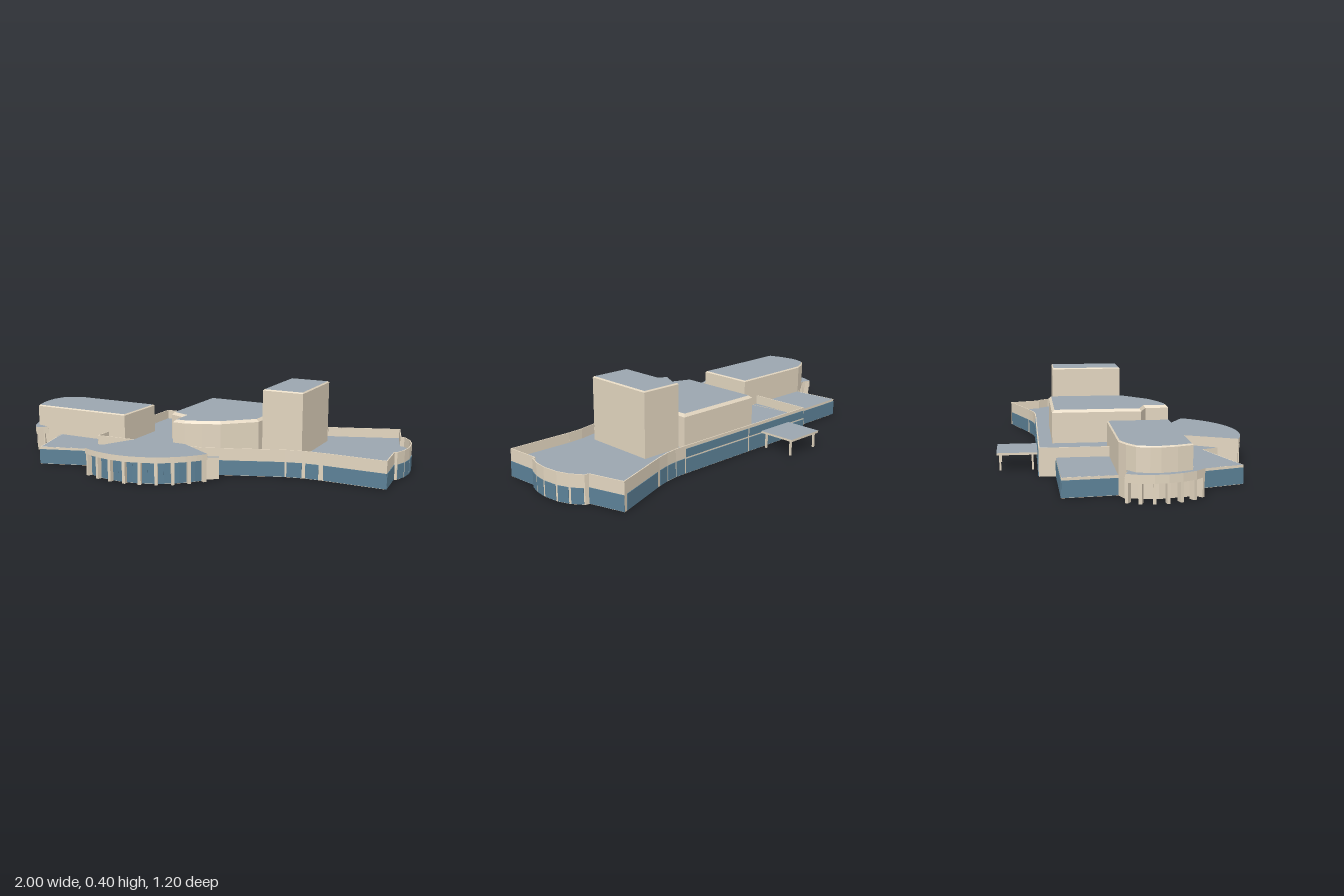
import * as THREE from 'three';

const mat = (name, color) => {
  const m = new THREE.MeshStandardMaterial({ color });
  m.name = name;
  return m;
};

export function createModel() {
  const wall = mat('sandstone', 0xe3d6c0);
  const roof = mat('slate roof', 0x9ba6af);
  const glass = mat('window glass', 0x5c8197);
  const model = new THREE.Group();
  let parent = model;

  const section = (name) => {
    parent = new THREE.Group();
    parent.name = name;
    model.add(parent);
  };
  const add = (name, geometry, material) => {
    const mesh = new THREE.Mesh(geometry, material);
    mesh.name = name;
    parent.add(mesh);
    return mesh;
  };

  // Solid with a plan outline of [x, z] points between two heights
  const slab = (name, pts, y0, y1, bevel = 0) => {
    const shape = new THREE.Shape(pts.map(([x, z]) => new THREE.Vector2(x, -z)));
    const g = new THREE.ExtrudeGeometry(shape, {
      depth: y1 - y0 - 2 * bevel, bevelEnabled: bevel > 0, bevelSegments: 1,
      bevelSize: bevel, bevelThickness: bevel, bevelOffset: -bevel,
    });
    g.rotateX(-Math.PI / 2).translate(0, y0 + bevel, 0);
    return add(name, g, [roof, wall]);
  };
  // Block whose top edge is chamfered
  const block = (name, pts, y0, y1, bevel) => {
    slab(name, pts, y0, y1 - bevel);
    slab(name + 'Cap', pts, y1 - 2 * bevel - 0.001, y1, bevel);
  };

  // Upright plate from a to b; outlines run clockwise seen from above, off > 0 is outward
  const plate = (name, a, b, y0, y1, thick, off, material) => {
    const dx = b[0] - a[0], dz = b[1] - a[1], len = Math.hypot(dx, dz);
    const m = add(name, new THREE.BoxGeometry(len, y1 - y0, thick), material);
    m.position.set((a[0] + b[0]) / 2 + (dz / len) * off, (y0 + y1) / 2, (a[1] + b[1]) / 2 - (dx / len) * off);
    m.rotation.y = Math.atan2(-dz, dx);
  };
  const walls = (name, path, y0, y1, thick = 0.005) => {
    for (let i = 0; i + 1 < path.length; i++) plate(name, path[i], path[i + 1], y0, y1, thick, -thick / 2, wall);
  };
  const lerp = (a, b, t) => [a[0] + (b[0] - a[0]) * t, a[1] + (b[1] - a[1]) * t];

  // Row of n panes with narrow mullions between them
  const glaze = (a, b, y0 = 0.002, y1 = 0.075, n = 1, gap = 0.01) => {
    const g = n > 1 ? gap / 2 / Math.hypot(b[0] - a[0], b[1] - a[1]) : 0;
    for (let i = 0; i < n; i++) {
      plate('window', lerp(a, b, i / n + g), lerp(a, b, (i + 1) / n - g), y0, y1, 0.003, 0.001, glass);
    }
  };
  const arc = (cx, cz, r, from, to, n) => Array.from({ length: n + 1 }, (_, i) => {
    const t = THREE.MathUtils.degToRad(from + ((to - from) * i) / n);
    return [cx + r * Math.cos(t), cz + r * Math.sin(t)];
  });

  // Main building: roof deck behind a parapet
  section('mainBuilding');
  const north = [[-0.485, -0.405], [0.38, -0.405], [0.44, -0.407], [0.5, -0.417], [0.565, -0.436], [0.854, -0.543]];
  const east = [[0.905, -0.375], [0.925, -0.372], [0.965, -0.32], [0.988, -0.26], [0.997, -0.18], [0.99, -0.115], [0.97, -0.055], [0.957, -0.055], [0.97, 0.118]];
  const south = [[0.65, 0.118], [0.57, 0.124], [0.48, 0.144], [0.11, 0.288], [-0.1, 0.295], [-0.485, 0.31]];
  const main = [...north, ...east, ...south];
  slab('mainRoof', main, 0.08, 0.086);
  walls('mainWall', [...main, main[0]], 0, 0.135);
  // Two tiers of glass on the long north face, one elsewhere
  glaze(north[0], north[1], 0.002, 0.072, 2);
  glaze(north[0], north[1], 0.08, 0.12, 2);
  for (let i = 1; i < 5; i++) glaze(lerp(north[i], north[i + 1], 0.06), lerp(north[i], north[i + 1], 0.94));
  glaze(north[5], east[0]);
  for (let i = 1; i < 6; i++) glaze(lerp(east[i], east[i + 1], 0.08), lerp(east[i], east[i + 1], 0.92));
  glaze(east[7], east[8]);
  glaze(east[8], lerp(east[8], south[0], 0.95));
  for (let i = 0; i < 2; i++) glaze(lerp(south[i], south[i + 1], 0.1), lerp(south[i], south[i + 1], 0.9));
  glaze(south[2], south[3]);

  // Low west wing
  section('westWing');
  const wing = [[-0.355, 0.46], [-0.385, 0.38], [-0.715, 0.49], [-0.775, 0.27], [-0.84, -0.08], [-0.86, -0.32], [-0.49, -0.325]];
  slab('wingRoof', [...wing, [-0.4, 0.25], [-0.25, 0.28]], 0.082, 0.088);
  walls('wingWall', wing, 0, 0.088);
  for (const i of [1, 2, 4, 5]) glaze(wing[i], wing[i + 1], 0.002, 0.076);

  // Tall hall on the wing roof; its rounded west end overhangs the porch
  section('westHall');
  const hall = [[-0.84, -0.08], [-0.38, -0.08], [-0.38, 0.218], [-0.935, 0.218], [-0.958, 0.15], [-0.97, 0.08], [-0.968, 0.035], [-0.95, -0.02], [-0.9, -0.055]];
  walls('hallWall', [...hall, hall[0]], 0.086, 0.2);
  block('hallBlock', hall, 0.2, 0.236, 0.006);
  // Ground-level returns under the hall
  walls('hallReturn', [[-0.785, 0.218], [-0.89, 0.218]], 0, 0.088);
  walls('hallReturn', [[-0.89, 0.218], [-0.915, 0.08], [-0.89, -0.06], [-0.84, -0.08]], 0, 0.088);

  // Crescent porch on piers around the rounded end
  section('crescentPorch');
  const rim = [[-0.91, 0.275], [-0.95, 0.232], [-0.98, 0.17], [-0.996, 0.11], [-1, 0.05], [-0.993, -0.01], [-0.97, -0.065]];
  const porch = [[-0.86, 0.235], ...rim, [-0.925, -0.05]];
  // The porch roof stops at the hall wall
  slab('porchRoof', [...porch, [-0.9, -0.055], [-0.95, -0.02], [-0.968, 0.035], [-0.97, 0.08], [-0.958, 0.15], [-0.935, 0.218]], 0.117, 0.125);
  walls('porchBand', porch, 0.088, 0.124, 0.008);
  for (const p of rim) {
    const [x, z] = lerp(p, [-0.72, 0.09], 0.08);
    const pier = add('porchPier', new THREE.BoxGeometry(0.03, 0.117, 0.014), wall);
    pier.position.set(x, 0.0585, z);
    pier.rotation.y = Math.atan2(-(z - 0.09), x + 0.72);
  }

  // Auditorium with a chamfered roof edge, its walls running down to the ground
  section('auditorium');
  const house = [[-0.158, -0.33], [0.312, -0.33], [0.308, 0.07], [0.165, 0.203], [0.08, 0.242], [0, 0.268], [-0.064, 0.268], [-0.064, 0.15], [-0.158, 0.115]];
  block('auditoriumBlock', house, 0.082, 0.252, 0.013);
  walls('auditoriumWall', [...house, house[0]], 0, 0.083);

  // Stage tower
  section('stageTower');
  block('towerBlock', [[0.326, -0.306], [0.535, -0.306], [0.535, 0.064], [0.326, 0.064]], 0, 0.403, 0.006);

  // Fan-shaped foyer: sector roof, curved glass wall and a row of piers
  section('fanFoyer');
  const [cx, cz] = [-0.195, 0.145];
  slab('foyerRoof', [[cx, cz], ...arc(cx, cz, 0.452, 32, 115.5, 24)], 0.108, 0.136);
  const curve = arc(cx, cz, 0.425, 34, 114, 16);
  walls('foyerWall', [[cx + 0.15, cz + 0.1], ...curve, [cx - 0.08, cz + 0.18]], 0, 0.11);
  for (let i = 0; i < 16; i++) glaze(curve[i], curve[i + 1], 0.002, 0.108);
  arc(cx, cz, 0.436, 33.5, 114, 8).forEach(([x, z]) => {
    const pier = add('foyerPier', new THREE.BoxGeometry(0.027, 0.11, 0.015), wall);
    pier.position.set(x, 0.055, z);
    pier.rotation.y = Math.atan2(cz - z, x - cx);
  });
  // Angled screen walls beside the entrance
  slab('entranceScreen', [[0.11, 0.288], [0.122, 0.288], [0.165, 0.332], [0.21, 0.308], [0.217, 0.32], [0.145, 0.362], [0.135, 0.352], [0.15, 0.342]], 0, 0.108);

  // Rear canopy on four posts
  section('rearCanopy');
  slab('canopyRoof', [[-0.355, -0.6], [-0.145, -0.6], [-0.145, -0.405], [-0.355, -0.405]], 0.076, 0.086);
  plate('canopySoffit', [-0.35, -0.503], [-0.15, -0.503], 0.074, 0.077, 0.19, 0, wall);
  for (const x of [-0.34, -0.16]) {
    for (const z of [-0.583, -0.43]) {
      const post = add('canopyPost', new THREE.BoxGeometry(0.009, 0.077, 0.009), wall);
      post.position.set(x, 0.0385, z);
    }
  }
  return model;
}
